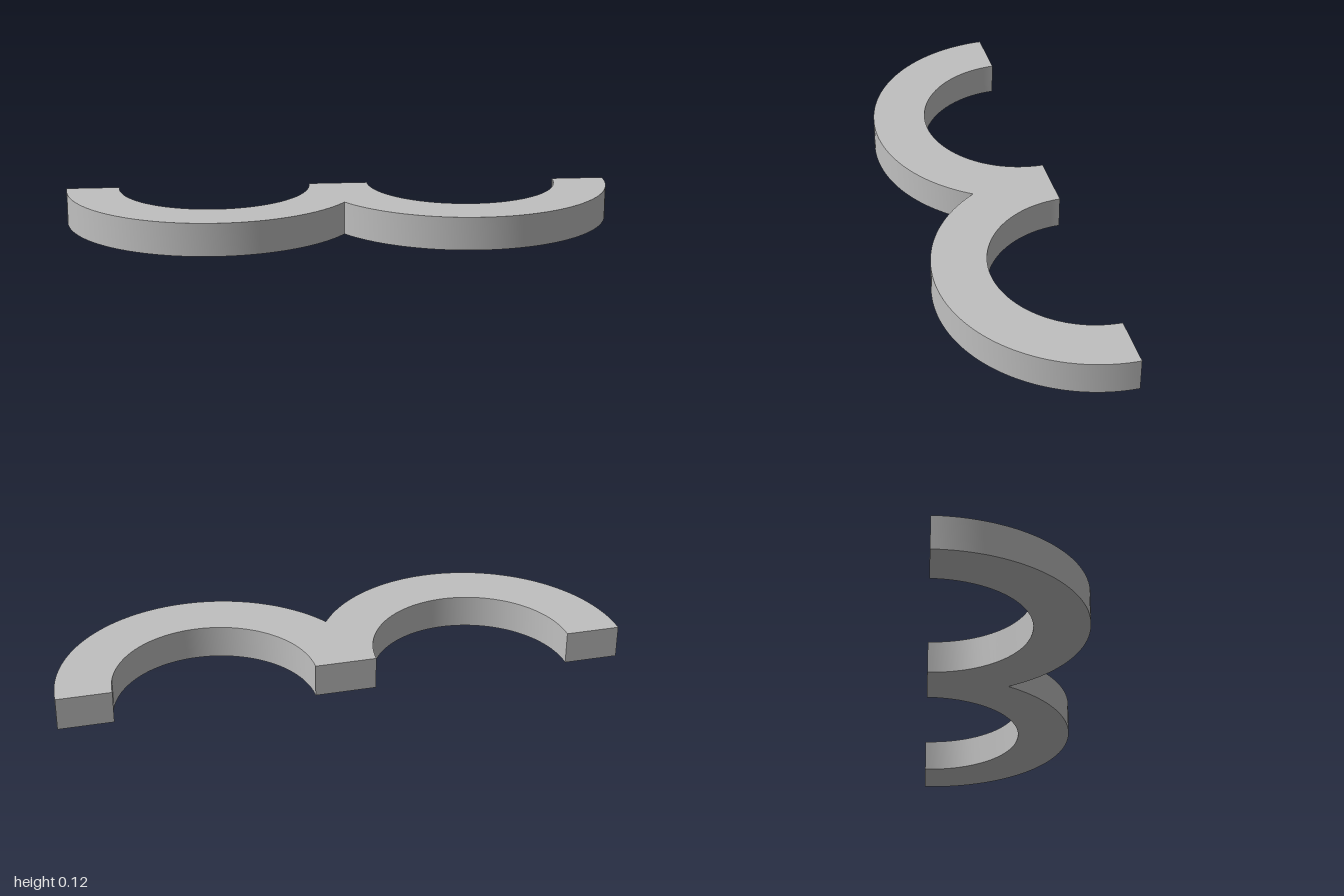
import * as THREE from 'three';
import { toCreasedNormals } from 'three/addons/utils/BufferGeometryUtils.js';

const HEIGHT = 0.118;
const OUTER = 0.542;  // outer radius of each half ring
const INNER = 0.35;   // inner radius
const CENTRE = 0.458; // x distance of each ring centre
const BACK = -0.271;  // z of the flat back faces

export function createModel() {
  const group = new THREE.Group();
  group.name = 'doubleArcBracket';
  const grey = new THREE.MeshStandardMaterial({ color: 0xc0c0c0 });
  grey.name = 'grey';

  // Plan outline: two outer arcs meeting at a cusp, then the two inner arcs
  const cusp = Math.acos(CENTRE / OUTER);
  const outline = new THREE.Shape();
  outline.moveTo(CENTRE + OUTER, BACK);
  outline.absarc(CENTRE, BACK, OUTER, 0, Math.PI - cusp, false);
  outline.absarc(-CENTRE, BACK, OUTER, cusp, Math.PI, false);
  for (const x of [-CENTRE, CENTRE]) {
    outline.lineTo(x - INNER, BACK);
    outline.absarc(x, BACK, INNER, Math.PI, 0, true);
  }
  outline.closePath();

  // Lay the extrusion flat, standing on the ground
  const solid = new THREE.ExtrudeGeometry(outline, {
    depth: HEIGHT, bevelEnabled: false, curveSegments: 32,
  });
  solid.rotateX(Math.PI / 2);
  solid.translate(0, HEIGHT, 0);

  const body = new THREE.Mesh(toCreasedNormals(solid, Math.PI / 6), grey);
  body.name = 'doubleArcBody';
  group.add(body);
  return group;
}
